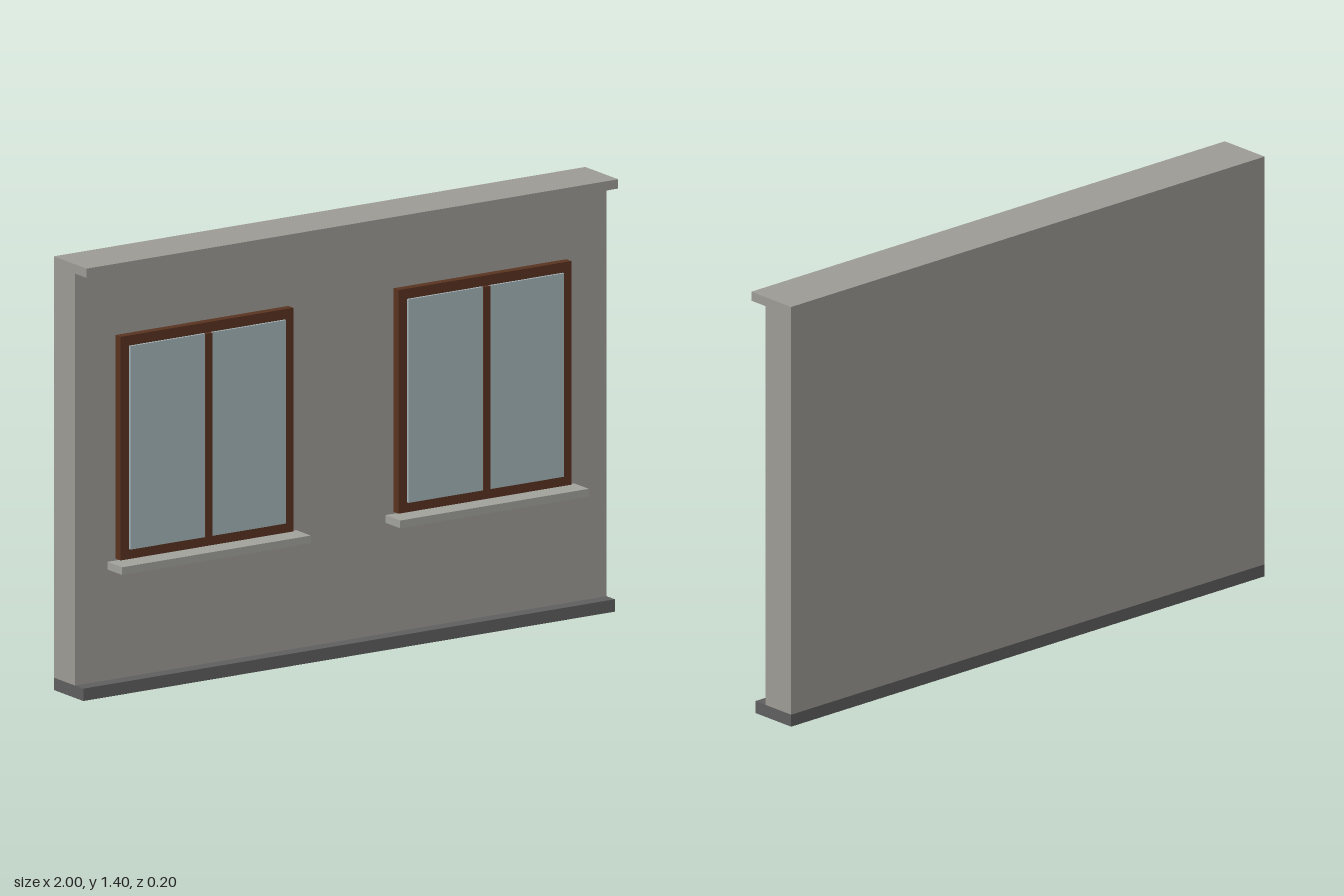
import * as THREE from 'three';

const material = (name, color) => {
  const m = new THREE.MeshStandardMaterial({ color });
  m.name = name;
  return m;
};

// Box given by its lower and upper bounds on each axis
function box(name, mat, [x0, x1], [y0, y1], [z0, z1]) {
  const mesh = new THREE.Mesh(new THREE.BoxGeometry(x1 - x0, y1 - y0, z1 - z0), mat);
  mesh.position.set((x0 + x1) / 2, (y0 + y1) / 2, (z0 + z1) / 2);
  mesh.name = name;
  return mesh;
}

function rectangle(path, x, y0, y1) {
  path.moveTo(-x, y0);
  path.lineTo(x, y0);
  path.lineTo(x, y1);
  path.lineTo(-x, y1);
  path.closePath();
  return path;
}

export function createModel() {
  const plaster = material('plaster', 0x9d9b95);
  const plinthGrey = material('plinth grey', 0x5f5f60);
  const sillStone = material('sill stone', 0xa2a29d);
  const wood = material('brown wood', 0x5a3320);
  const glass = material('pale glass', 0xa5b5ba);

  const BACK = -0.1, FACE = 0.02;
  const model = new THREE.Group();
  model.name = 'wallSection';

  // Wall slab with an overhanging cornice
  model.add(box('wall', plaster, [-1, 1], [0.04, 1.37], [BACK, FACE]));
  model.add(box('cornice', plaster, [-1, 1], [1.37, 1.4], [BACK, 0.085]));

  // Plinth band around the foot; the wall's own underside stays plaster
  const bandMaterials = [plinthGrey, plinthGrey, plinthGrey, plaster, plinthGrey, plinthGrey];
  model.add(box('plinthBand', bandMaterials, [-1, 1], [0, 0.04], [BACK, FACE]));
  model.add(box('plinthLedge', plinthGrey, [-1, 1], [0, 0.04], [FACE, 0.066]));

  // Two matching windows
  for (const side of [-1, 1]) {
    const win = new THREE.Group();
    win.name = side > 0 ? 'leftWindow' : 'rightWindow';
    win.position.x = side * 0.523;

    const outline = rectangle(new THREE.Shape(), 0.325, 0.428, 1.15);
    outline.holes.push(rectangle(new THREE.Path(), 0.293, 0.46, 1.117));
    const frame = new THREE.Mesh(
      new THREE.ExtrudeGeometry(outline, { depth: 0.028, bevelEnabled: false }), wood);
    frame.position.z = FACE;
    frame.name = 'windowFrame';
    win.add(frame);

    // Panes stand slightly proud of the frame, with the mullion between them
    for (const s of [-1, 1]) {
      const xs = s > 0 ? [0.013, 0.293] : [-0.293, -0.013];
      win.add(box('windowPane', glass, xs, [0.46, 1.117], [FACE, 0.056]));
    }
    win.add(box('mullion', wood, [-0.013, 0.013], [0.46, 1.117], [FACE, 0.06]));
    win.add(box('windowSill', sillStone, [-0.355, 0.355], [0.397, 0.422], [FACE, 0.102]));
    model.add(win);
  }
  return model;
}
